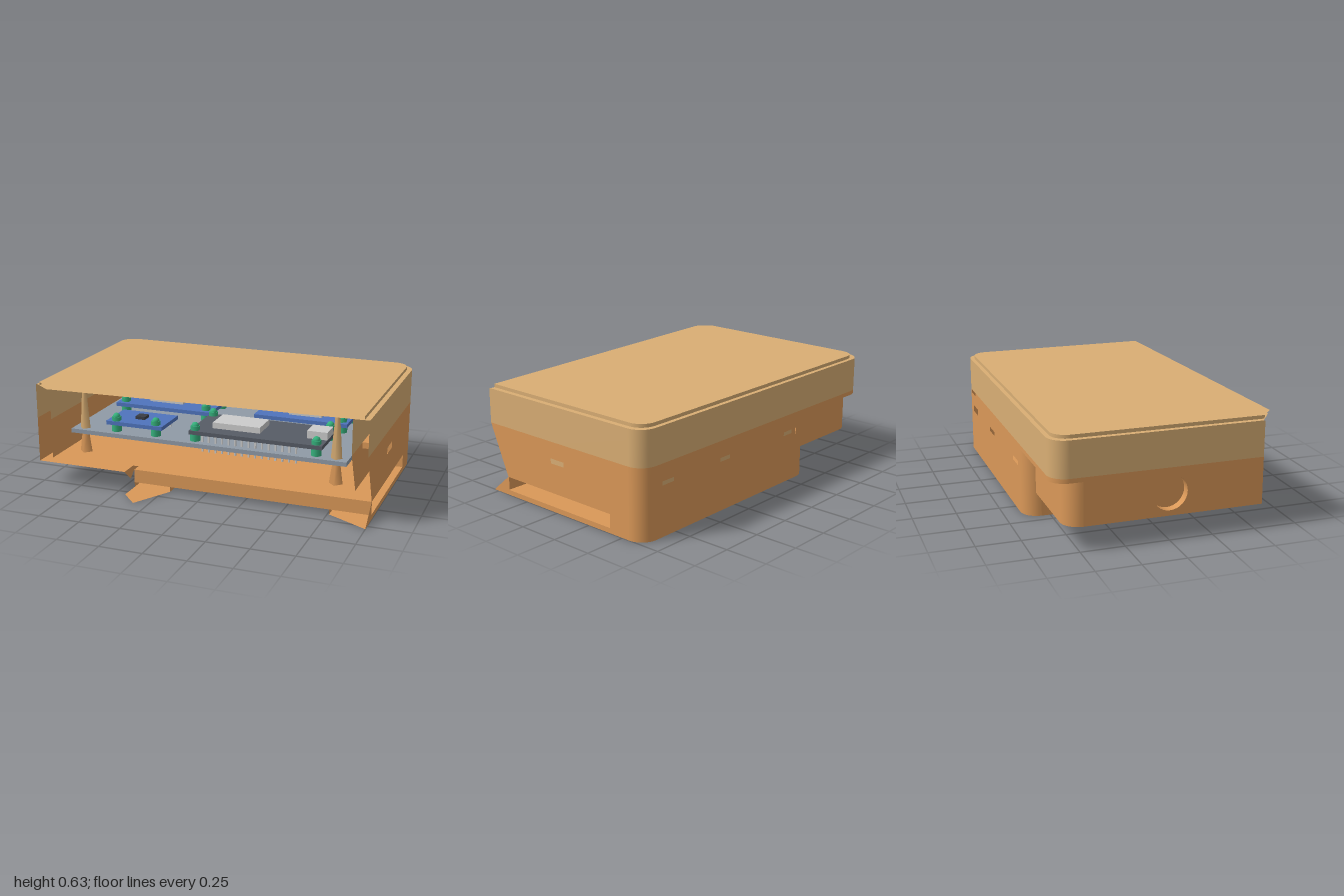
import * as THREE from 'three';

const material = (color) => new THREE.MeshStandardMaterial({ color, side: THREE.DoubleSide });

export function createModel() {
  const root = new THREE.Group();
  const lidMat = material(0xd9ae74), bodyMat = material(0xda9858);
  const pcbMat = material(0x8f9aa6), blueMat = material(0x4f74bd), darkMat = material(0x575c66);
  const greenMat = material(0x35b07c), greyMat = material(0xcccccc), blackMat = material(0x3a3d44);

  const add = (name, geo, mat, parent = root) => {
    const m = new THREE.Mesh(geo, mat);
    m.name = name;
    parent.add(m);
    return m;
  };
  const box = (name, x0, x1, y0, y1, z0, z1, mat, parent) => {
    const m = add(name, new THREE.BoxGeometry(x1 - x0, y1 - y0, z1 - z0), mat, parent);
    m.position.set((x0 + x1) / 2, (y0 + y1) / 2, (z0 + z1) / 2);
    return m;
  };
  const group = (name) => {
    const g = new THREE.Group();
    g.name = name;
    root.add(g);
    return g;
  };

  // Flat sheets with openings, laid in each of the three planes
  const sheet = (pts, holes = []) => {
    const s = new THREE.Shape(pts.map(([a, b]) => new THREE.Vector2(a, b)));
    s.holes = holes.map((h) => new THREE.Path(h.map(([a, b]) => new THREE.Vector2(a, b))));
    return new THREE.ShapeGeometry(s);
  };
  const rect = (a0, a1, b0, b1) => [[a0, b0], [a1, b0], [a1, b1], [a0, b1]];
  const level = (pts, y, holes) => sheet(pts, holes).rotateX(Math.PI / 2).translate(0, y, 0);
  const sideWall = (pts, x, holes) => sheet(pts, holes).rotateY(-Math.PI / 2).translate(x, 0, 0);
  const backWall = (pts, z, holes) => sheet(pts, holes).translate(0, 0, z);

  // Rounded corner in plan, from angle a0 to a1
  const arc = (cx, cz, r, a0, a1, n = 10) => Array.from({ length: n + 1 }, (_, i) => {
    const a = a0 + ((a1 - a0) * i) / n;
    return [cx + r * Math.cos(a), cz + r * Math.sin(a)];
  });
  const leftArc = (x, z, r) => arc(x + r, z + r, r, Math.PI, Math.PI * 1.5);
  const rightArc = (x, z, r) => arc(x - r, z + r, r, Math.PI * 1.5, Math.PI * 2);

  // Upright strip following a plan path
  const ribbon = (pts, y0, y1) => {
    const pos = [], idx = [];
    pts.forEach(([x, z], i) => {
      pos.push(x, y0, z, x, y1, z);
      if (i) idx.push(2 * i - 2, 2 * i - 1, 2 * i, 2 * i, 2 * i - 1, 2 * i + 1);
    });
    const g = new THREE.BufferGeometry();
    g.setAttribute('position', new THREE.Float32BufferAttribute(pos, 3));
    g.setIndex(idx);
    g.computeVertexNormals();
    return g;
  };

  // Lid: stepped top, skirt and inner skin, open at the front
  const lid = group('lid');
  const lidBack = [...leftArc(-1, -0.65, 0.1), ...rightArc(1, -0.65, 0.1)];
  const topBack = [...leftArc(-0.97, -0.625, 0.09), ...rightArc(0.97, -0.625, 0.09)];
  add('lidSkirt', ribbon([[-1, 0.54], ...lidBack, [1, 0.54]], 0.41, 0.615), lidMat, lid);
  add('lidLedge', level([[-1, 0.53], ...lidBack, [1, 0.53], [-0.89, 0.61]], 0.615), lidMat, lid);
  add('lidStep', ribbon([[-0.97, 0.55], ...topBack, [0.97, 0.53]], 0.615, 0.635), lidMat, lid);
  add('lidTop', level([[-0.97, 0.55], ...topBack, [0.97, 0.53], [-0.89, 0.62]], 0.635), lidMat, lid);
  const innerBack = [...leftArc(-0.91, -0.56, 0.06), ...rightArc(0.91, -0.56, 0.06)];
  add('lidLining', ribbon([[-0.91, 0.54], ...innerBack, [0.91, 0.54]], 0.41, 0.614), lidMat, lid);

  // Lower body: outer walls with snap slots and a strap passage
  const body = group('body');
  const passage = rect(-0.41, 0.405, 0.03, 0.11);
  add('rightWall', sideWall([[-0.55, 0], [0.54, 0], [0.41, 0.11], [0.54, 0.41], [-0.55, 0.41]], 1,
    [passage, rect(-0.063, 0.063, 0.272, 0.312)]), bodyMat, body);
  const slotXs = [0.79, 0.32, -0.26];
  add('backWall', backWall(rect(-0.34, 0.9, 0, 0.41), -0.65,
    [...slotXs.map((x) => rect(x - 0.06, x + 0.06, 0.272, 0.312)), rect(0.79, 0.9 - 0.01, 0.388, 0.408)]), bodyMat, body);
  add('rightCorner', ribbon(rightArc(1, -0.65, 0.1), 0, 0.41), bodyMat, body);
  add('stepCorner', ribbon([...leftArc(-0.44, -0.65, 0.1)], 0, 0.41), bodyMat, body);
  add('stepWall', sideWall([[-0.55, 0], [0.408, 0], [0.41, 0.11], [0.46, 0.07], [0.54, 0.14], [-0.55, 0.14]],
    -0.44, [passage]), bodyMat, body);

  // Recessed side bay with connector window and round port
  const bayCorner = leftArc(-1, -0.58, 0.1);
  add('bayBack', backWall(rect(-0.9, -0.42, 0.14, 0.39), -0.58, [rect(-0.78, -0.57, 0.2, 0.33)]), bodyMat, body);
  add('bayCorner', ribbon(bayCorner, 0.14, 0.39), bodyMat, body);
  const portHole = arc(0, 0.27, 0.1, 0, Math.PI * 2, 32).slice(0, -1);
  add('baySide', sideWall(rect(-0.48, 0.54, 0.14, 0.41), -1, [portHole]), bodyMat, body);
  add('bayFloor', level([[-1, 0.54], ...bayCorner, [-0.44, -0.58], [-0.44, 0.54]], 0.14), bodyMat, body);
  add('bayRim', ribbon([[-1, -0.48], ...leftArc(-1, -0.65, 0.1), [-0.34, -0.65]], 0.385, 0.41), bodyMat, body);
  add('bayRimUnderside', level([[-1, -0.45], ...leftArc(-1, -0.65, 0.1), [-0.34, -0.65], [-0.34, -0.56], [-0.9, -0.56]], 0.385), bodyMat, body);
  const port = add('portSleeve', new THREE.CylinderGeometry(0.1, 0.1, 0.085, 32, 1, true), bodyMat, body);
  port.rotation.z = Math.PI / 2;
  port.position.set(-0.957, 0.27, 0);
  const portLip = add('portLip', new THREE.RingGeometry(0.07, 0.1, 32), bodyMat, body);
  portLip.rotation.y = -Math.PI / 2;
  portLip.position.set(-0.95, 0.27, 0);
  box('connectorPlate', -0.78, -0.57, 0.2, 0.33, -0.555, -0.545, bodyMat, body);

  // Inner skin and floor
  add('bodyLining', ribbon([[-0.91, 0.54], ...innerBack, [0.91, 0.41]], 0.17, 0.41), bodyMat, body);
  add('liningFront', sideWall([[0.41, 0.17], [0.43, 0.17], [0.54, 0.41], [0.41, 0.41]], 0.91), bodyMat, body);
  add('innerFloor', level([[-0.91, 0.54], ...innerBack, [0.91, 0.41], [-0.44, 0.5]], 0.17), bodyMat, body);

  // Base plate with a central opening running out to the front
  const base = [
    ...leftArc(-0.44, -0.65, 0.1), ...rightArc(1, -0.65, 0.1), [1, 0.54], [0.76, 0.41],
    [0.76, -0.41], [-0.21, -0.41], [-0.21, 0.41], [-0.34, 0.645], [-0.44, 0.54],
  ];
  add('baseUnderside', level(base, 0), bodyMat, body);
  add('baseTop', level([[-0.44, -0.41], [-0.21, -0.41], [-0.21, 0.41], [-0.44, 0.41]], 0.03), bodyMat, body);
  add('baseTop', level(rect(0.76, 1, -0.41, 0.41), 0.03), bodyMat, body);
  add('baseOpeningEdge', ribbon([[-0.21, 0.41], [-0.21, -0.41]], 0, 0.03), bodyMat, body);
  add('baseOpeningEdge', ribbon([[0.76, 0.41], [0.76, -0.41]], 0, 0.03), bodyMat, body);
  add('passageCeiling', level(rect(-0.44, 1, -0.41, 0.41), 0.11), bodyMat, body);
  add('passageBack', backWall(rect(-0.44, 1, 0, 0.11), -0.41), bodyMat, body);
  add('passageFront', backWall(rect(-0.44, 1, 0.03, 0.11), 0.41), bodyMat, body);

  // Snap tabs filling the slots
  const tabs = group('snapTabs');
  slotXs.forEach((x) => box('snapTab', x - 0.06, x + 0.06, 0.272, 0.312, -0.62, -0.57, lidMat, tabs));
  box('snapTab', 0.92, 0.98, 0.272, 0.312, -0.063, 0.063, lidMat, tabs);
  for (const s of [-1, 1]) box('rib', s * 0.93 - 0.02, s * 0.93 + 0.02, 0.375, 0.41, 0.05, 0.3, bodyMat, tabs);

  // Screw posts: whole at the back, tapering at the open front
  const posts = group('posts');
  for (const x of [-0.78, 0.78]) for (const z of [-0.34, 0.36]) {
    const front = z > 0;
    const upper = add('lidPost', new THREE.CylinderGeometry(front ? 0.01 : 0.033, 0.033, 0.29, front ? 4 : 20), lidMat, posts);
    upper.position.set(x, 0.465, z);
    const lower = add('bodyPost', new THREE.CylinderGeometry(front ? 0.022 : 0.033, 0.04, 0.125, front ? 4 : 20), bodyMat, posts);
    lower.position.set(x, 0.233, z);
  }

  // Circuit boards and their chips
  const electronics = group('electronics');
  const part = (name, mat, ...b) => box(name, ...b, mat, electronics);
  part('mainBoard', pcbMat, -0.85, 0.85, 0.295, 0.32, -0.42, 0.41);
  part('sensorBoard', blueMat, -0.63, -0.27, 0.362, 0.385, 0.14, 0.38);
  part('sensorChip', blackMat, -0.48, -0.42, 0.385, 0.403, 0.23, 0.29);
  part('rearBoard', blueMat, -0.74, -0.11, 0.362, 0.385, -0.35, 0.02);
  part('rearChip', greyMat, -0.55, -0.33, 0.385, 0.42, -0.27, -0.08);
  part('chargerBoard', blueMat, 0.15, 0.73, 0.362, 0.385, -0.35, -0.05);
  part('chargerChip', greyMat, 0.35, 0.555, 0.385, 0.415, -0.28, -0.12);
  part('controllerBoard', darkMat, -0.1, 0.7, 0.362, 0.385, 0.03, 0.38);
  part('controllerChip', greyMat, 0.015, 0.305, 0.385, 0.42, 0.12, 0.29);
  part('controllerSocket', greyMat, 0.58, 0.7, 0.385, 0.43, 0.15, 0.27);

  // Green standoffs with domed nuts at the board corners
  const standoffs = [
    [-0.575, 0.35], [-0.32, 0.35], [-0.695, -0.3], [-0.155, -0.3], [-0.695, -0.03], [-0.155, -0.03],
    [-0.07, 0.35], [0.66, 0.35], [-0.07, 0.06], [0.66, 0.06], [0.19, -0.3], [0.69, -0.3], [0.69, -0.1],
  ];
  for (const [x, z] of standoffs) {
    const g = group('standoff');
    add('spacer', new THREE.CylinderGeometry(0.03, 0.03, 0.042, 12), greenMat, g).position.y = 0.341;
    add('nut', new THREE.CylinderGeometry(0.028, 0.028, 0.025, 6), greenMat, g).position.y = 0.397;
    add('nutDome', new THREE.SphereGeometry(0.022, 12, 6, 0, Math.PI * 2, 0, Math.PI / 2), greenMat, g).position.y = 0.409;
    g.position.set(x, 0, z);
  }

  // Header pins beneath the main board
  const pins = group('headerPins');
  const pinRow = (x0, n, z) => {
    for (let i = 0; i < n; i++) {
      const x = x0 + i * 0.0405;
      box('pin', x - 0.005, x + 0.005, 0.262, 0.36, z - 0.005, z + 0.005, greyMat, pins);
    }
  };
  pinRow(-0.59, 8, 0.17);
  pinRow(-0.02, 15, 0.365);
  pinRow(-0.02, 15, 0.05);
  return root;
}
